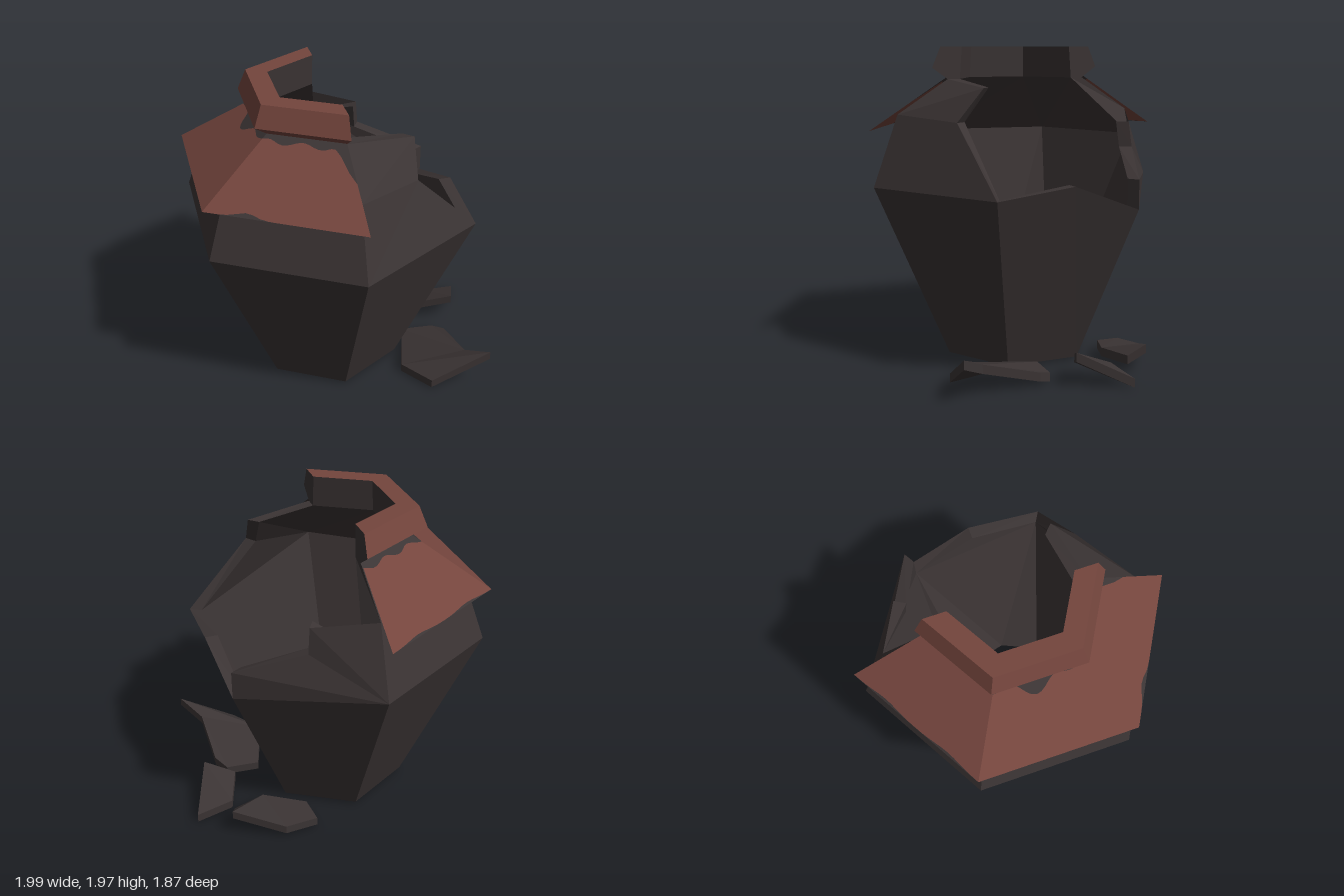
import * as THREE from 'three';

const CX = -0.063; // axis of the hexagonal jar

export function createModel() {
  const model = new THREE.Group();
  const make = (name, color) => {
    const m = new THREE.MeshStandardMaterial({ color, flatShading: true, side: THREE.DoubleSide });
    m.name = name;
    return m;
  };
  const clay = make('dark clay', 0x3b3434);
  const paint = make('red paint', 0x74453d);

  const V = (x, y, z) => new THREE.Vector3(x, y, z);
  const rad = THREE.MathUtils.degToRad;
  const polar = (deg, r, y) => V(CX + r * Math.cos(rad(deg)), y, r * Math.sin(rad(deg)));
  // Point on a hexagon ring, k = corner number (fractions lie on the flat side)
  const ring = (k, r, y) => {
    const i = Math.floor(k);
    return polar(15 + 60 * i, r, y).lerp(polar(75 + 60 * i, r, y), k - i);
  };

  function addTriangles(name, points, material) {
    const g = new THREE.BufferGeometry().setFromPoints(points);
    g.computeVertexNormals();
    const mesh = new THREE.Mesh(g, material);
    mesh.name = name;
    model.add(mesh);
  }
  const fan = (pts) => {
    const tris = [];
    for (let i = 1; i < pts.length - 1; i++) tris.push(pts[0], pts[i], pts[i + 1]);
    return tris;
  };
  const face = (name, pts) => addTriangles(name, fan(pts), clay);
  // Strip joining two matching rows of points
  const strip = (a, b) => {
    const tris = [];
    for (let i = 0; i < a.length - 1; i++) tris.push(a[i], b[i + 1], a[i + 1], a[i], b[i], b[i + 1]);
    return tris;
  };

  // Outer wall rings
  const bottom = (k) => ring(k, 0.472, 0.02);
  const belly = (k) => ring(k, 0.948, 1.12);
  const shoulder = (k) => ring(k, 0.79, 1.56);
  const neck = (k) => ring(k, 0.465, 1.77);
  // Inner wall rings: the hollow is twisted against the outside
  const hollowBase = [[354, 0.395], [32, 0.415], [94, 0.33], [158, 0.36], [225, 0.38], [308, 0.39]]
    .map(([deg, r]) => polar(deg, r, 0.01));
  const hollowShoulder = (k) => polar(22 + 60 * k, 0.78, 1.4);
  const hollowNeck = (k) => ring(k, 0.385, 1.77);

  // Intact walls and shoulders
  for (let k = 0; k < 4; k++) {
    face('lowerWall', [bottom(k + 1), bottom(k), belly(k), belly(k + 1)]);
    if (k === 0) continue;
    face('shoulderWall', [belly(k + 1), belly(k), shoulder(k), shoulder(k + 1)]);
    face('upperShoulder', [shoulder(k + 1), shoulder(k), neck(k), neck(k + 1)]);
    face('innerWall', [hollowShoulder(k), hollowBase[k], hollowBase[k + 1], hollowShoulder(k + 1)]);
    face('innerShoulder', [hollowShoulder(k), hollowShoulder(k + 1), hollowNeck(k + 1), hollowNeck(k)]);
  }

  // Broken edge from the front of the neck round to the back, and its inner copy
  const edge = [
    neck(1), V(0.45, 1.73, 0.27), V(0.47, 1.53, 0.43), belly(0), V(0.735, 1.18, -0.22),
    V(0.57, 1.01, -0.64), V(0.57, 1.19, -0.64), V(0.13, 1.34, -0.71), V(0.12, 1.5, -0.69),
    shoulder(4), neck(4),
  ];
  const inner = edge.map((p) => {
    const r = Math.hypot(p.x - CX, p.z);
    const s = (r - 0.08) / r;
    return V(CX + (p.x - CX) * s, p.y, p.z * s);
  });
  inner[9] = hollowShoulder(4);
  addTriangles('brokenRim', strip(edge, inner), clay);

  // Broken walls, outside then inside
  face('brokenFrontShoulder', [belly(1), belly(0), edge[2], shoulder(1)]);
  face('brokenFrontPeak', [shoulder(1), edge[2], edge[1], neck(1)]);
  face('brokenSideWall', [edge[4], belly(0), bottom(0), bottom(5), edge[5]]);
  face('brokenBackWall', [bottom(5), bottom(4), belly(4), edge[5]]);
  face('brokenBackShoulder', [belly(4), shoulder(4), edge[8], edge[7], edge[6], edge[5]]);
  face('innerFrontPeak', [hollowShoulder(1), inner[2], inner[1], inner[0]]);
  face('innerFrontWall', [inner[3], inner[2], hollowShoulder(1), hollowBase[1], hollowBase[0]]);
  face('innerSideWall', [inner[5], inner[4], inner[3], hollowBase[0], hollowBase[5]]);
  face('innerBackWall', [hollowBase[4], hollowBase[5], inner[5], hollowShoulder(4)]);
  face('innerBackShoulder', [hollowShoulder(4), inner[8], inner[7], inner[6], inner[5]]);

  // Half collar left standing: painted outside, bare inside and on the broken ends
  const profile = [[0.465, 1.77], [0.565, 1.84], [0.51, 1.97], [0.37, 1.97], [0.385, 1.77]]
    .map(([r, y]) => new THREE.Vector2(r, y));
  const lathe = (name, pts, material) => {
    const mesh = new THREE.Mesh(new THREE.LatheGeometry(pts, 3, rad(-165), Math.PI), material);
    mesh.name = name;
    mesh.position.x = CX;
    model.add(mesh);
  };
  lathe('collarOutside', profile.slice(0, 4), paint);
  lathe('collarInside', [profile[3], profile[4], profile[0]], clay);
  for (const angle of [75, 255]) {
    const cap = new THREE.Mesh(new THREE.ShapeGeometry(new THREE.Shape(profile)), clay);
    cap.name = 'collarBrokenEnd';
    cap.position.x = CX;
    cap.rotation.y = -rad(angle);
    model.add(cap);
  }

  // Flared skirt over the shoulder, with paint worn to a ragged edge
  const bump = (s, centre, width) => Math.exp(-(((s - centre) / width) ** 2));
  const skirtPoint = (s, v) => ring(1 + s, 0.97, 1.465).lerp(ring(1 + s, 0.475, 1.78), v);
  const upperEdge = (s) => 0.91 + 0.03 * Math.sin(s * 15)
    - 0.36 * bump(s, 0, 0.09) - 0.15 * bump(s, 1.53, 0.19);
  const lowerEdge = (s) => 0.06 * bump(s, 0.74, 0.08) + 0.03 * bump(s, 2.25, 0.13)
    + 0.03 * bump(s, 2.75, 0.12);
  const samples = Array.from({ length: 61 }, (_, i) => i / 20);
  function band(name, from, to, material) {
    const row = (v) => samples.map((s) => skirtPoint(s, v(s)));
    addTriangles(name, strip(row(from), row(to)), material);
  }
  band('skirtWornHem', () => 0, lowerEdge, clay);
  band('skirtPaint', lowerEdge, upperEdge, paint);
  band('skirtWornTop', upperEdge, () => 1, clay);

  // Fallen shards on the ground
  function shard(name, points) {
    const top = points.map((p) => V(...p));
    const under = points.map(([x, y, z]) => V(x, Math.max(0, y - 0.055), z));
    addTriangles(name, [
      ...fan(top), ...fan([...under].reverse()), ...strip([...under, under[0]], [...top, top[0]]),
    ], clay);
  }
  shard('sideShard', [[0.8, 0.22, -0.22], [0.84, 0.06, -0.56], [0.62, 0.09, -0.47], [0.6, 0.15, -0.25]]);
  shard('backShard', [
    [0.42, 0.12, -0.46], [0.6, 0.12, -0.58], [0.61, 0.19, -0.69],
    [0.28, 0.09, -0.74], [0.08, 0.07, -0.65], [0.14, 0.08, -0.5],
  ]);
  shard('frontShardTip', [[0.99, 0.27, 0.45], [0.84, 0.19, 0.33], [0.43, 0.07, 0.34], [0.62, 0.07, 0.5]]);
  shard('frontShard', [
    [0.84, 0.19, 0.33], [0.74, 0.09, -0.02], [0.66, 0.06, -0.09], [0.45, 0.06, -0.05], [0.43, 0.07, 0.34],
  ]);

  return model;
}
